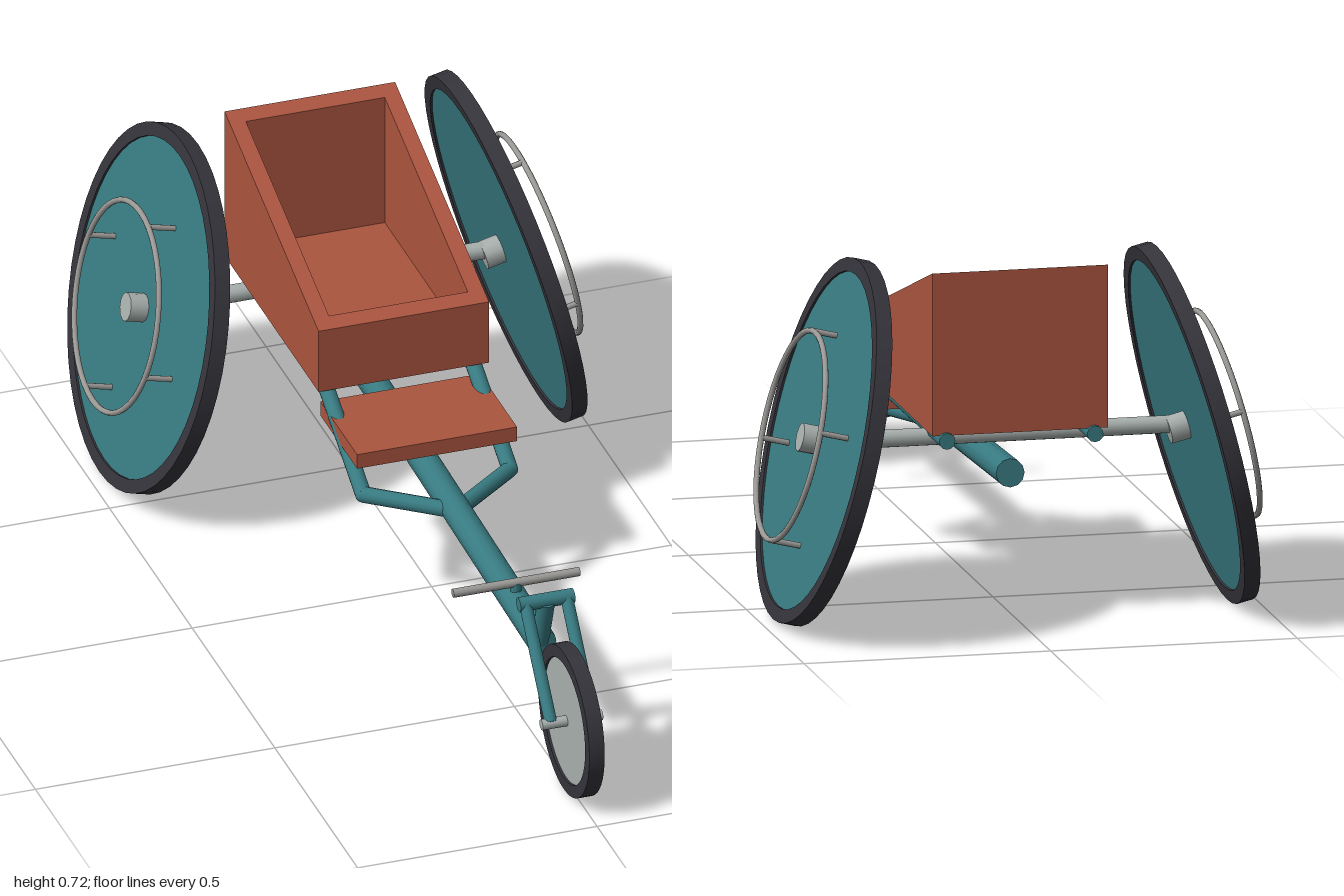
import * as THREE from 'three';
import { toCreasedNormals } from 'three/addons/utils/BufferGeometryUtils.js';

const mat = (name, color) => {
  const m = new THREE.MeshStandardMaterial({ color });
  m.name = name;
  return m;
};

export function createModel() {
  const model = new THREE.Group();
  model.name = 'racingWheelchair';
  const teal = mat('teal frame', 0x387b82);
  const red = mat('rust red', 0xab553f);
  const rubber = mat('dark rubber', 0x35343b);
  const alloy = mat('pale alloy', 0xa8b0ae);
  const steel = mat('steel', 0x9b9a97);

  const add = (parent, name, geometry, material) => {
    const mesh = new THREE.Mesh(geometry, material);
    mesh.name = name;
    parent.add(mesh);
    return mesh;
  };

  // Straight round bar between two points
  const bar = (parent, name, a, b, r, material, sides = 12) => {
    const p = new THREE.Vector3(...a), q = new THREE.Vector3(...b);
    const dir = q.clone().sub(p);
    const mesh = add(parent, name, new THREE.CylinderGeometry(r, r, dir.length(), sides), material);
    mesh.position.copy(p).add(q).multiplyScalar(0.5);
    mesh.quaternion.setFromUnitVectors(new THREE.Vector3(0, 1, 0), dir.normalize());
    return mesh;
  };

  // Chain of bars with ball joints at the bends
  const pipe = (parent, name, points, r, material) => {
    for (let i = 0; i < points.length - 1; i++) {
      bar(parent, name, points[i], points[i + 1], r, material);
      if (i > 0) add(parent, name + 'Joint', new THREE.SphereGeometry(r, 12, 8), material).position.set(...points[i]);
    }
  };

  // Tyre and solid disc, turning about x
  const wheel = (parent, outer, inner, half, discHalf, discMaterial) => {
    const profile = [[inner, -half], [outer, -half], [outer, half], [inner, half], [inner, -half]]
      .map(([x, y]) => new THREE.Vector2(x, y));
    const tyre = toCreasedNormals(new THREE.LatheGeometry(profile, 48), 0.6);
    tyre.rotateZ(Math.PI / 2);
    add(parent, 'tyre', tyre, rubber);
    const disc = new THREE.CylinderGeometry(inner + 0.002, inner + 0.002, discHalf * 2, 48);
    disc.rotateZ(Math.PI / 2);
    add(parent, 'disc', disc, discMaterial);
  };

  // Cambered rear wheels with push rims
  for (const s of [1, -1]) {
    const rear = new THREE.Group();
    rear.name = s > 0 ? 'leftRearWheel' : 'rightRearWheel';
    rear.position.set(s * 0.373, 0.361, -0.63);
    rear.rotation.z = s * 0.24;
    wheel(rear, 0.368, 0.34, 0.0165, 0.012, teal);
    bar(rear, 'hub', [-0.05, 0, 0], [0.05, 0, 0], 0.029, alloy);
    const rim = new THREE.TorusGeometry(0.211, 0.006, 8, 48);
    rim.rotateY(Math.PI / 2);
    add(rear, 'pushRim', rim, steel).position.x = s * 0.069;
    for (let i = 0; i < 4; i++) {
      const a = 0.24 + i * Math.PI / 2;
      const y = -0.211 * Math.cos(a), z = -0.211 * Math.sin(a);
      bar(rear, 'pushRimPeg', [s * 0.008, y, z], [s * 0.069, y, z], 0.006, steel, 8);
    }
    model.add(rear);
  }
  bar(model, 'rearAxle', [-0.37, 0.361, -0.63], [0.37, 0.361, -0.63], 0.018, alloy);

  // Front wheel, fork and head tube
  const front = new THREE.Group();
  front.name = 'frontWheel';
  front.position.set(0, 0.158, 0.845);
  wheel(front, 0.155, 0.129, 0.016, 0.011, alloy);
  bar(front, 'frontAxle', [-0.063, 0, 0], [0.063, 0, 0], 0.011, alloy);
  model.add(front);
  for (const s of [1, -1]) {
    bar(model, 'forkLeg', [s * 0.043, 0.16, 0.845], [s * 0.043, 0.345, 0.692], 0.013, teal);
  }
  bar(model, 'forkCrown', [-0.057, 0.346, 0.69], [0.057, 0.346, 0.69], 0.015, teal);
  bar(model, 'headTube', [0, 0.345, 0.692], [0, 0.235, 0.655], 0.018, teal);

  // Main frame tube and steering bar
  bar(model, 'mainTube', [0, 0.238, 0.67], [0, 0.283, -0.65], 0.029, teal);
  bar(model, 'steeringPost', [0, 0.25, 0.51], [0, 0.288, 0.51], 0.011, teal);
  bar(model, 'steeringBar', [-0.132, 0.288, 0.51], [0.132, 0.288, 0.51], 0.009, steel);

  // Side rails running up and back beneath the seat, with struts
  for (const s of [1, -1]) {
    pipe(model, 'sideRail', [
      [0, 0.255, 0.15], [s * 0.153, 0.255, 0.03], [s * 0.153, 0.375, -0.19], [s * 0.15, 0.375, -0.745],
    ], 0.0165, teal);
    bar(model, 'railStrut', [0, 0.275, -0.2], [s * 0.156, 0.305, -0.065], 0.013, teal);
  }

  // Footplate
  add(model, 'footplate', new THREE.BoxGeometry(0.334, 0.032, 0.222), red).position.set(0, 0.334, -0.078);

  // Open seat tub: every wall follows the same sloping rim
  const seat = new THREE.Group();
  seat.name = 'seat';
  const rimY = (z) => 0.524 + (-0.17 - z) * 0.336;
  const wall = (name, x0, x1, zFront, zBack) => {
    const shape = new THREE.Shape([
      [-zFront, 0.385], [-zBack, 0.385], [-zBack, rimY(zBack)], [-zFront, rimY(zFront)],
    ].map(([x, y]) => new THREE.Vector2(x, y)));
    const g = new THREE.ExtrudeGeometry(shape, { depth: x1 - x0, bevelEnabled: false });
    g.rotateY(Math.PI / 2);
    g.translate(x0, 0, 0);
    add(seat, name, g, red);
  };
  wall('rightSide', -0.178, -0.145, -0.168, -0.736);
  wall('leftSide', 0.145, 0.178, -0.168, -0.736);
  wall('frontWall', -0.145, 0.145, -0.168, -0.201);
  wall('backWall', -0.145, 0.145, -0.703, -0.736);
  add(seat, 'floor', new THREE.BoxGeometry(0.29, 0.033, 0.502), red).position.set(0, 0.4015, -0.452);
  model.add(seat);

  return model;
}
